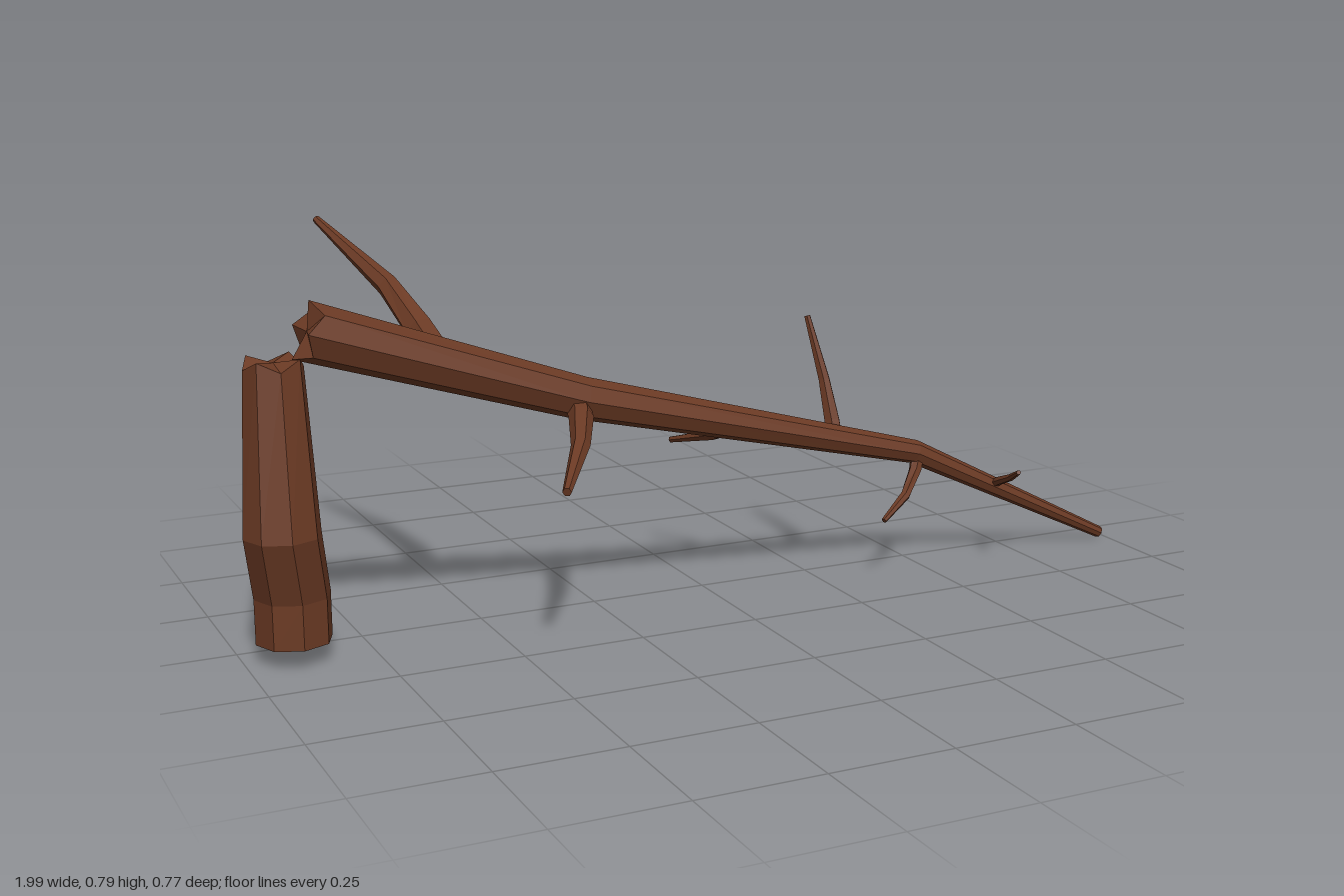
import * as THREE from 'three';

const bark = new THREE.MeshStandardMaterial({ color: 0x6b3a24, flatShading: true });

// Faceted limb through [x, y, z, radius] stations; jag makes a splintered start or end ring
function limb(name, stations, { sides = 6, axis = null, jagStart = 0, jagEnd = 0 } = {}) {
  const centers = stations.map(([x, y, z]) => new THREE.Vector3(x, y, z));
  const last = centers.length - 1;
  const positions = [], index = [];

  centers.forEach((c, i) => {
    const prev = centers[Math.max(i - 1, 0)], next = centers[Math.min(i + 1, last)];
    const t = axis ? axis.clone() : next.clone().sub(prev).normalize();
    const ref = Math.abs(t.y) > 0.9 ? new THREE.Vector3(0, 0, 1) : new THREE.Vector3(0, 1, 0);
    const u = new THREE.Vector3().crossVectors(t, ref).normalize();
    const v = new THREE.Vector3().crossVectors(t, u);
    const jag = i === 0 ? jagStart : i === last ? jagEnd : 0;
    for (let j = 0; j < sides; j++) {
      const a = (j / sides) * Math.PI * 2;
      const p = c.clone()
        .addScaledVector(u, Math.cos(a) * stations[i][3])
        .addScaledVector(v, Math.sin(a) * stations[i][3])
        .addScaledVector(t, jag * (j % 2 ? 1 : -1));
      positions.push(p.x, p.y, p.z);
    }
  });

  // Side walls
  for (let i = 0; i < last; i++) {
    for (let j = 0; j < sides; j++) {
      const k = (j + 1) % sides;
      const a = i * sides + j, b = i * sides + k;
      index.push(a, b, b + sides, a, b + sides, a + sides);
    }
  }
  // End caps
  const s = positions.length / 3, e = s + 1;
  for (const c of [centers[0], centers[last]]) positions.push(c.x, c.y, c.z);
  for (let j = 0; j < sides; j++) {
    const k = (j + 1) % sides;
    index.push(s, k, j, e, last * sides + j, last * sides + k);
  }

  const indexed = new THREE.BufferGeometry();
  indexed.setAttribute('position', new THREE.Float32BufferAttribute(positions, 3));
  indexed.setIndex(index);
  const geometry = indexed.toNonIndexed();
  geometry.computeVertexNormals();
  const mesh = new THREE.Mesh(geometry, bark);
  mesh.name = name;
  return mesh;
}

export function createModel() {
  const group = new THREE.Group();
  group.name = 'brokenTree';

  // Upright stump with a kink and a splintered top
  group.add(limb('stump', [
    [-0.903, 0.04, 0.07, 0.075],
    [-0.903, 0.13, 0.07, 0.075],
    [-0.925, 0.26, 0.104, 0.075],
    [-0.92, 0.585, 0.072, 0.058],
  ], { sides: 8, axis: new THREE.Vector3(0, 1, 0), jagEnd: 0.01 }));

  // Fallen trunk, thick at the break and resting on its tip
  group.add(limb('fallenTrunk', [
    [-0.853, 0.638, 0.07, 0.058],
    [-0.3, 0.456, 0.07, 0.044],
    [0.48, 0.26, 0.07, 0.026],
    [0.985, 0.013, 0.07, 0.013],
  ], { sides: 8, jagStart: 0.013 }));

  // Side branches
  const branches = {
    largeBackBranch: [[-0.59, 0.56, 0.05, 0.032], [-0.59, 0.595, -0.06, 0.031],
      [-0.615, 0.668, -0.19, 0.023], [-0.705, 0.785, -0.382, 0.008]],
    largeFrontBranch: [[-0.31, 0.442, 0.07, 0.026], [-0.325, 0.432, 0.125, 0.025],
      [-0.372, 0.404, 0.235, 0.019], [-0.46, 0.357, 0.38, 0.009]],
    smallBackTwig: [[0.06, 0.362, 0.06, 0.014], [0.056, 0.346, 0.02, 0.014],
      [0.048, 0.318, -0.045, 0.012], [0.006, 0.285, -0.168, 0.007]],
    uprightTwig: [[0.288, 0.315, 0.055, 0.019], [0.289, 0.345, 0.043, 0.018],
      [0.284, 0.43, 0.015, 0.013], [0.263, 0.563, -0.025, 0.007]],
    lowerTwig: [[0.49, 0.255, 0.07, 0.015], [0.475, 0.222, 0.085, 0.014],
      [0.435, 0.177, 0.112, 0.011], [0.367, 0.135, 0.138, 0.006]],
    tipTwig: [[0.688, 0.162, 0.07, 0.01], [0.684, 0.177, 0.1, 0.01],
      [0.678, 0.199, 0.155, 0.008], [0.645, 0.232, 0.232, 0.005]],
  };
  for (const [name, stations] of Object.entries(branches)) group.add(limb(name, stations));

  return group;
}
